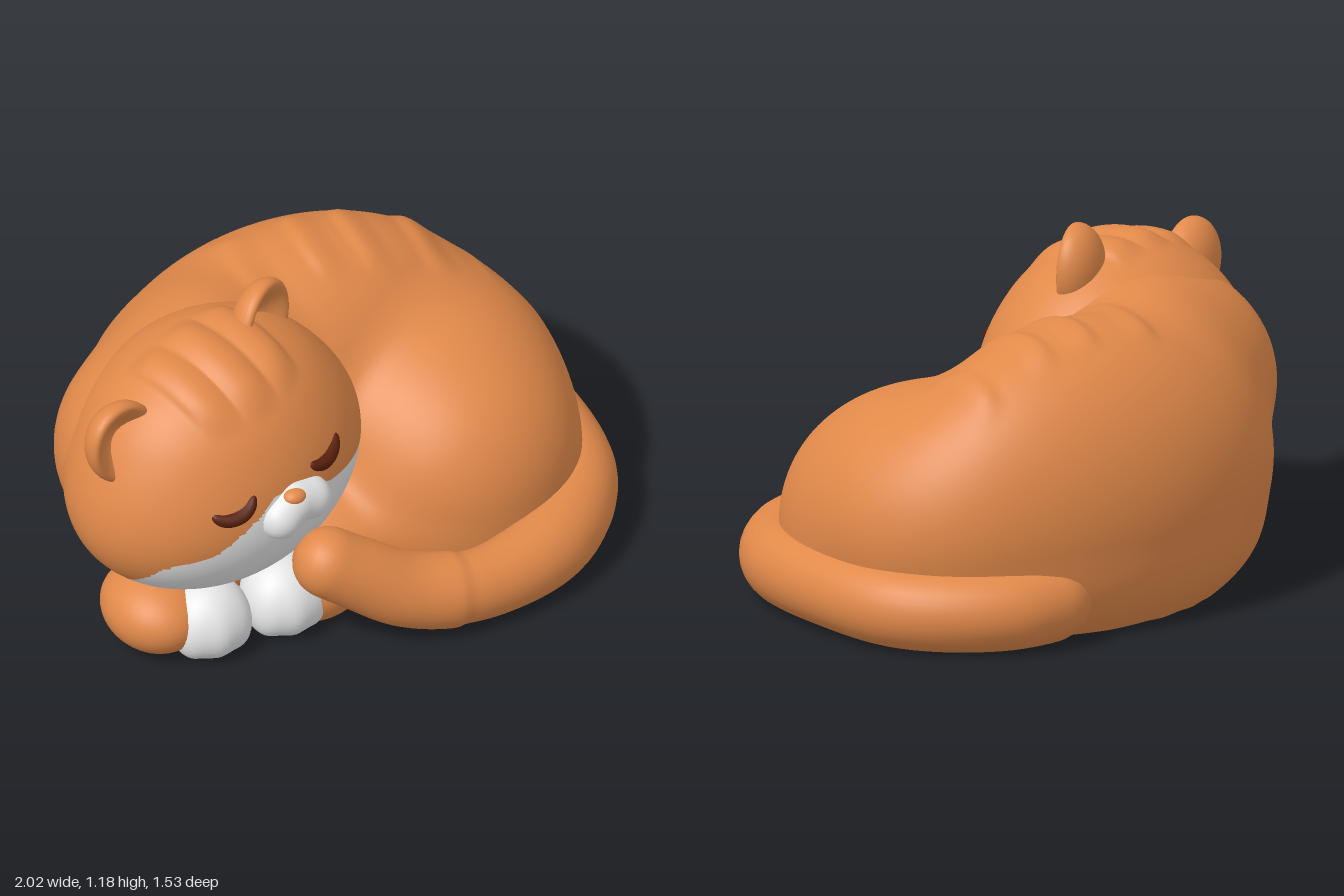
import * as THREE from 'three';
import { mergeVertices, toCreasedNormals } from 'three/addons/utils/BufferGeometryUtils.js';

const mat = (name, color) => {
  const m = new THREE.MeshStandardMaterial({ color });
  m.name = name;
  return m;
};

// Smooth union of ellipsoids, each given as [cx, cy, cz, rx, ry, rz]
function field(parts, k, x, y, z) {
  let d = 10;
  for (const [cx, cy, cz, rx, ry, rz] of parts) {
    const e = (Math.hypot((x - cx) / rx, (y - cy) / ry, (z - cz) / rz) - 1) * Math.min(rx, ry, rz);
    const h = Math.max(k - Math.abs(d - e), 0) / k;
    d = Math.min(d, e) - h * h * k / 4;
  }
  return d;
}

// Sphere whose vertices are pushed out to the blended surface, with optional relief
function blob(parts, centre, k, seg, relief = () => 0) {
  const geo = new THREE.SphereGeometry(1, seg, Math.round(seg * 0.65));
  geo.deleteAttribute('uv');
  geo.deleteAttribute('normal');
  const p = geo.attributes.position, v = new THREE.Vector3(), q = new THREE.Vector3();
  for (let i = 0; i < p.count; i++) {
    v.fromBufferAttribute(p, i).normalize();
    let lo = 0, hi = 1.8;
    for (let n = 0; n < 22; n++) {
      const t = (lo + hi) / 2;
      q.copy(v).multiplyScalar(t).add(centre);
      if (field(parts, k, q.x, q.y, q.z) < 0) lo = t; else hi = t;
    }
    q.copy(v).multiplyScalar(lo).add(centre);
    q.addScaledVector(v, relief(q));
    p.setXYZ(i, q.x, q.y, q.z);
  }
  const merged = mergeVertices(geo, 1e-5);
  merged.computeVertexNormals();
  return merged;
}

// Flatten everything below the ground and keep the base edge sharp
function flatBase(geo) {
  const p = geo.attributes.position;
  for (let i = 0; i < p.count; i++) p.setY(i, Math.max(0, p.getY(i)));
  return toCreasedNormals(geo, 0.7);
}

// Split faces into two material groups by their centre point
function paint(geo, isSecond) {
  const p = geo.attributes.position, ix = geo.index.array, sets = [[], []];
  for (let i = 0; i < ix.length; i += 3) {
    const c = [0, 0, 0];
    for (let j = 0; j < 3; j++) {
      c[0] += p.getX(ix[i + j]) / 3;
      c[1] += p.getY(ix[i + j]) / 3;
      c[2] += p.getZ(ix[i + j]) / 3;
    }
    sets[isSecond(...c) ? 1 : 0].push(ix[i], ix[i + 1], ix[i + 2]);
  }
  geo.setIndex([...sets[0], ...sets[1]]);
  geo.addGroup(0, sets[0].length, 0);
  geo.addGroup(sets[0].length, sets[1].length, 1);
  return geo;
}

// Tube with a radius that varies along its length
function taperTube(points, radius, segs, sides) {
  const curve = new THREE.CatmullRomCurve3(points.map(a => new THREE.Vector3(...a)));
  const geo = new THREE.TubeGeometry(curve, segs, 1, sides);
  const p = geo.attributes.position, v = new THREE.Vector3();
  for (let i = 0; i <= segs; i++) {
    const c = curve.getPointAt(i / segs);
    for (let j = 0; j <= sides; j++) {
      const n = i * (sides + 1) + j;
      v.fromBufferAttribute(p, n).sub(c).multiplyScalar(radius(i / segs)).add(c);
      p.setXYZ(n, v.x, v.y, v.z);
    }
  }
  geo.deleteAttribute('uv');
  geo.deleteAttribute('normal');
  const merged = mergeVertices(geo, 1e-5);
  merged.computeVertexNormals();
  return merged;
}

const smooth = (a, b, x) => THREE.MathUtils.smoothstep(x, a, b);

export function createModel() {
  const model = new THREE.Group();
  const fur = mat('orange fur', 0xe1894a), white = mat('white fur', 0xe6e6e6), dark = mat('dark brown', 0x5a200c);
  const add = (name, geo, material, parent = model) => {
    const m = new THREE.Mesh(geo, material);
    m.name = name;
    parent.add(m);
    return m;
  };

  // Curled body with low stripes across the spine
  const stripes = q => {
    let b = 0;
    for (const s of [-0.2, 0.04, 0.22, 0.46, 0.68]) {
      const t = (q.x - s - 0.6 * (q.z + 0.3) ** 2) / 0.15;
      b = Math.max(b, 0.014 * smooth(0, 0.35, t) * (1 - smooth(0.35, 1, t)));
    }
    return b * smooth(0.66, 0.78, q.y) * smooth(-0.52, -0.42, q.z) * (1 - smooth(-0.2, -0.1, q.z));
  };
  add('body', flatBase(blob([
    [0.05, 0.42, -0.32, 0.74, 0.57, 0.44], // back
    [0.41, 0.35, -0.13, 0.51, 0.44, 0.48], // rump
    [-0.36, 0.43, -0.15, 0.42, 0.575, 0.4], // shoulder
    [0.05, 0.16, -0.14, 0.72, 0.26, 0.54], // belly
    [-0.5, 0.58, 0.02, 0.46, 0.42, 0.41], // nape
    [0.44, 0.27, 0.07, 0.455, 0.45, 0.45], // folded hind leg
    [0.44, 0.1, 0.07, 0.42, 0.3, 0.42],
  ], new THREE.Vector3(0.14, 0.35, -0.06), 0.08, 180, stripes)), fur);

  // Tail wrapped round the side and front, with a slightly thicker tip
  const tailRadius = u => {
    const ends = Math.sqrt(Math.max(0, 1 - Math.max(0, (u - 0.955) / 0.045) ** 2))
      * Math.sqrt(Math.max(0, 1 - Math.max(0, (0.06 - u) / 0.06) ** 2));
    return (0.137 - 0.016 * smooth(0.6, 0.76, u) + 0.01 * smooth(0.765, 0.78, u) - 0.01 * smooth(0.8, 0.98, u)) * ends;
  };
  add('tail', flatBase(taperTube([
    [0.24, 0.14, -0.6], [0.56, 0.135, -0.585], [0.81, 0.135, -0.37], [0.865, 0.14, 0],
    [0.81, 0.135, 0.31], [0.6, 0.125, 0.545], [0.28, 0.125, 0.645], [0.03, 0.17, 0.62],
    [-0.15, 0.275, 0.58], [-0.34, 0.4, 0.53],
  ], tailRadius, 160, 28)), fur);

  // Head, turned and tilted, with forehead ridges
  const headMatrix = new THREE.Matrix4().makeRotationFromEuler(new THREE.Euler(0, 0.32, 0.13, 'YXZ'));
  headMatrix.setPosition(-0.47, 0.62, 0.12);
  const headInverse = headMatrix.clone().invert();
  const skull = [
    [0, 0, 0, 0.51, 0.46, 0.43],
    [0, -0.07, 0.01, 0.545, 0.35, 0.41],
  ];
  const ridges = q => 0.022 * Math.abs(Math.cos(q.x * Math.PI / 0.16)) * smooth(0.3, 0.4, q.y)
    * (1 - smooth(0.2, 0.24, Math.abs(q.x))) * smooth(-0.15, -0.05, q.z);
  const headGeo = blob(skull, new THREE.Vector3(), 0.08, 220, ridges).applyMatrix4(headMatrix);

  // White face mask: upper edge as seen from the front
  const edge = [[-0.87, 0.36], [-0.85, 0.41], [-0.8, 0.465], [-0.67, 0.5], [-0.52, 0.61], [-0.44, 0.68],
    [-0.3, 0.68], [-0.2, 0.615], [0, 0.58], [0.12, 0.6]];
  const maskTop = x => {
    const i = edge.findIndex(e => x <= e[0]);
    if (i < 1) return -1;
    const [x0, y0] = edge[i - 1], [x1, y1] = edge[i];
    return y0 + (y1 - y0) * (x - x0) / (x1 - x0);
  };
  const hp = headGeo.attributes.position;
  for (let i = 0; i < hp.count; i++) {
    const top = maskTop(hp.getX(i));
    if (hp.getZ(i) > 0.1 && Math.abs(hp.getY(i) - top) < 0.007) hp.setY(i, top);
  }
  add('head', paint(headGeo, (x, y, z) => z > 0.1 && y < maskTop(x)), [fur, white]);

  // Depth of the face surface at a point seen from the front
  const v = new THREE.Vector3();
  const faceZ = (x, y) => {
    let z = 0.9;
    for (; z > 0; z -= 0.002) {
      v.set(x, y, z).applyMatrix4(headInverse);
      if (field(skull, 0.08, v.x, v.y, v.z) < 0) break;
    }
    return z;
  };

  // Muzzle and nose
  const pad = (x, y, r) => [x, y, faceZ(x, y) - 0.012, r, r, r];
  add('muzzle', blob([pad(-0.42, 0.585, 0.076), pad(-0.295, 0.605, 0.076), pad(-0.363, 0.63, 0.068)],
    new THREE.Vector3(-0.36, 0.61, faceZ(-0.36, 0.61) - 0.01), 0.04, 60), white);
  const nose = add('nose', new THREE.SphereGeometry(1, 24, 16), fur);
  nose.position.set(-0.373, 0.667, faceZ(-0.373, 0.667) + 0.022);
  nose.scale.set(0.042, 0.028, 0.035);

  // Closed eyelids
  const eyes = [
    [[-0.67, 0.665], [-0.63, 0.643], [-0.58, 0.643], [-0.54, 0.665], [-0.515, 0.71]],
    [[-0.285, 0.725], [-0.25, 0.703], [-0.205, 0.697], [-0.165, 0.715], [-0.14, 0.745]],
  ];
  for (const e of eyes) {
    const pts = e.map(([x, y]) => [x, y, faceZ(x, y) - 0.004]);
    add('closed eye', taperTube(pts, u => 0.025 * Math.sqrt(Math.max(0, Math.sin(Math.PI * u))) + 0.003, 28, 10), dark);
  }

  // Round cupped ears
  const ears = new THREE.Group();
  ears.name = 'ears';
  ears.applyMatrix4(headMatrix);
  model.add(ears);
  const earGeo = new THREE.SphereGeometry(1, 40, 32);
  const ep = earGeo.attributes.position;
  for (let i = 0; i < ep.count; i++) {
    const z = ep.getZ(i);
    if (z > 0) ep.setZ(i, 0.8 * z * (1 - 1.6 * z * z));
  }
  earGeo.computeVertexNormals();
  for (const [name, x, y, z, turn, tilt] of [['left ear', 0.27, 0.36, 0.03, 0.25, -0.35], ['right ear', -0.395, 0.3, 0.02, 0, 0.4]]) {
    const ear = add(name, earGeo, fur, ears);
    ear.position.set(x, y, z);
    ear.rotation.set(0, turn, tilt);
    ear.scale.set(0.14, 0.168, 0.1);
  }

  // Front legs and paws tucked under the chin
  const limb = (name, material, ...parts) =>
    add(name, flatBase(blob(parts, new THREE.Vector3(...parts[0].slice(0, 3)), 0.04, 48)), material);
  limb('right foreleg', fur, [-0.75, 0.13, 0.27, 0.175, 0.14, 0.21]);
  limb('left foreleg', fur, [-0.2, 0.11, 0.37, 0.18, 0.13, 0.14]);
  for (const [name, x] of [['right paw', -0.61], ['left paw', -0.33]]) {
    const toes = [-1, 0, 1].map(t => [x + t * 0.075, 0.09, 0.44 - Math.abs(t) * 0.025, 0.06, 0.09, 0.09]);
    limb(name, white, [x, 0.13, 0.38, 0.138, 0.132, 0.14], ...toes);
  }
  return model;
}
